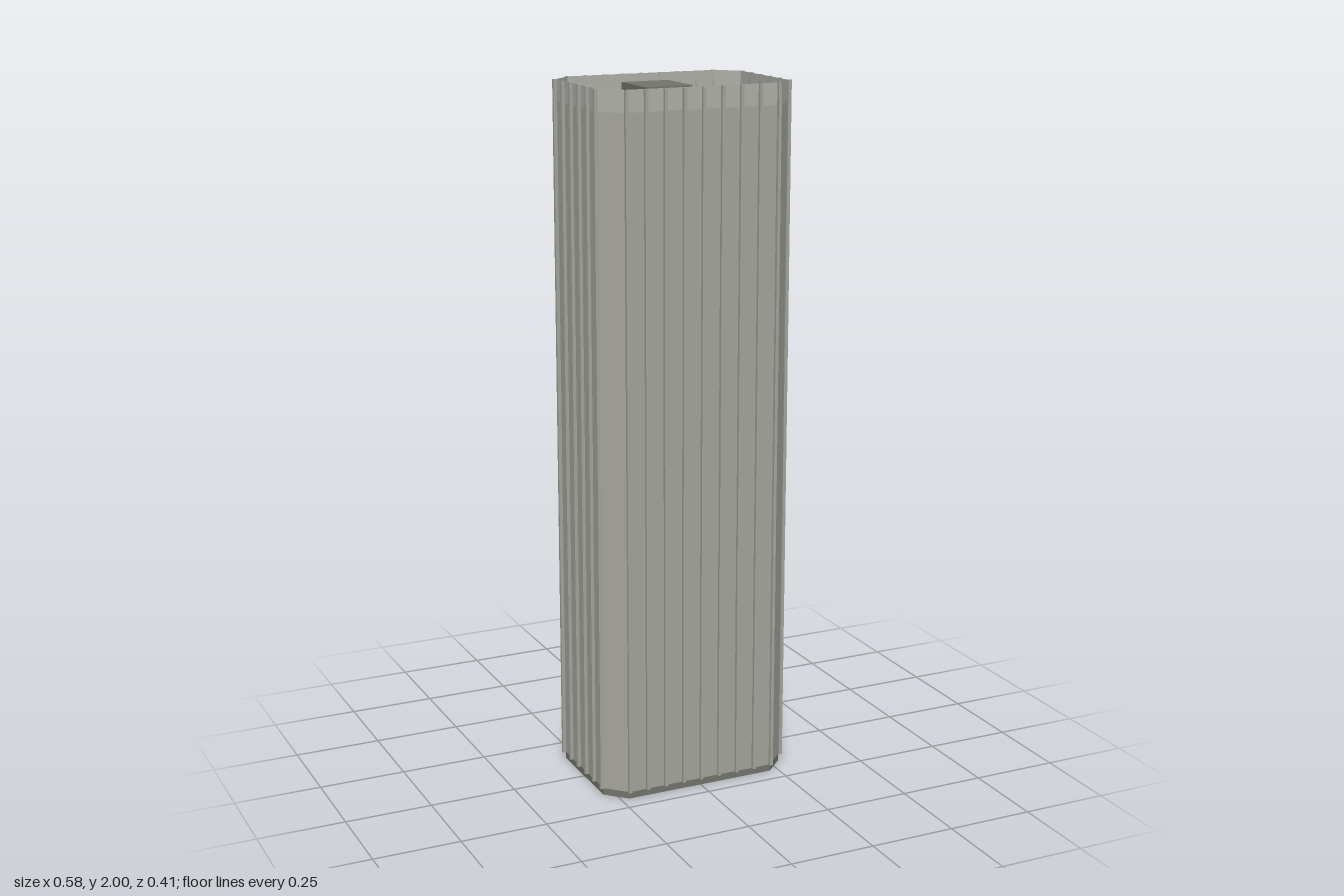
import * as THREE from 'three';

const W = 0.282, D = 0.197;     // half width and half depth of the walls
const CX = 0.225, CZ = 0.141;   // where the corner chamfers begin
const ROOF = 1.94, TOP = 2, BASE = 0.02;

// Chamfered plan, counter-clockwise in (x, -z)
const plan = [
  [CX, -D], [W, -CZ], [W, CZ], [CX, D],
  [-CX, D], [-W, CZ], [-W, -CZ], [-CX, -D],
];

export function createModel() {
  const tower = new THREE.Group();
  tower.name = 'tower';
  const paint = (color) => new THREE.MeshStandardMaterial({ color, flatShading: true, side: THREE.DoubleSide });
  const wallPaint = paint(0xa6a69e);
  const parapetPaint = paint(0xb0b0aa);
  const darkPaint = paint(0x75756e);

  const add = (name, geometry, material, x = 0, y = 0, z = 0, parent = tower) => {
    const mesh = new THREE.Mesh(geometry, material);
    mesh.name = name;
    mesh.position.set(x, y, z);
    parent.add(mesh);
  };

  // Open ring of thin wall panels between two heights
  const wallRing = (y0, y1) => {
    const pos = [];
    plan.forEach(([ax, az], i) => {
      const [bx, bz] = plan[(i + 1) % plan.length];
      pos.push(ax, y0, az, bx, y1, bz, bx, y0, bz, ax, y0, az, ax, y1, az, bx, y1, bz);
    });
    const g = new THREE.BufferGeometry();
    g.setAttribute('position', new THREE.Float32BufferAttribute(pos, 3));
    g.computeVertexNormals();
    return g;
  };
  add('plinth', wallRing(0, BASE), darkPaint);
  add('walls', wallRing(BASE, ROOF), wallPaint);
  add('parapet', wallRing(ROOF, TOP), parapetPaint);

  // Recessed flat roof
  const outline = new THREE.Shape(plan.map(([x, z]) => new THREE.Vector2(x, -z)));
  add('roof', new THREE.ShapeGeometry(outline).rotateX(-Math.PI / 2), darkPaint, 0, ROOF);

  // Rooftop plant boxes
  add('largeRoofBox', new THREE.BoxGeometry(0.14, 0.05, 0.155), darkPaint, -0.042, ROOF + 0.025, -0.007);
  add('smallRoofBox', new THREE.BoxGeometry(0.084, 0.03, 0.099), darkPaint, 0.112, ROOF + 0.015, -0.007);

  // Vertical ribs on all four faces
  const ribs = new THREE.Group();
  ribs.name = 'ribs';
  tower.add(ribs);
  const rib = new THREE.BoxGeometry(0.009, TOP - BASE, 0.01);
  const sideRib = new THREE.BoxGeometry(0.01, TOP - BASE, 0.009);
  const midY = (TOP + BASE) / 2;
  for (const s of [1, -1]) {
    for (let i = 0; i < 9; i++) {
      add(s > 0 ? 'frontRib' : 'backRib', rib, wallPaint, -CX + (i * CX) / 4, midY, s * (D + 0.005), ribs);
    }
    for (let i = 0; i < 6; i++) {
      add(s > 0 ? 'leftRib' : 'rightRib', sideRib, wallPaint, s * (W + 0.005), midY, -CZ + (i * CZ) / 2.5, ribs);
    }
  }
  return tower;
}
